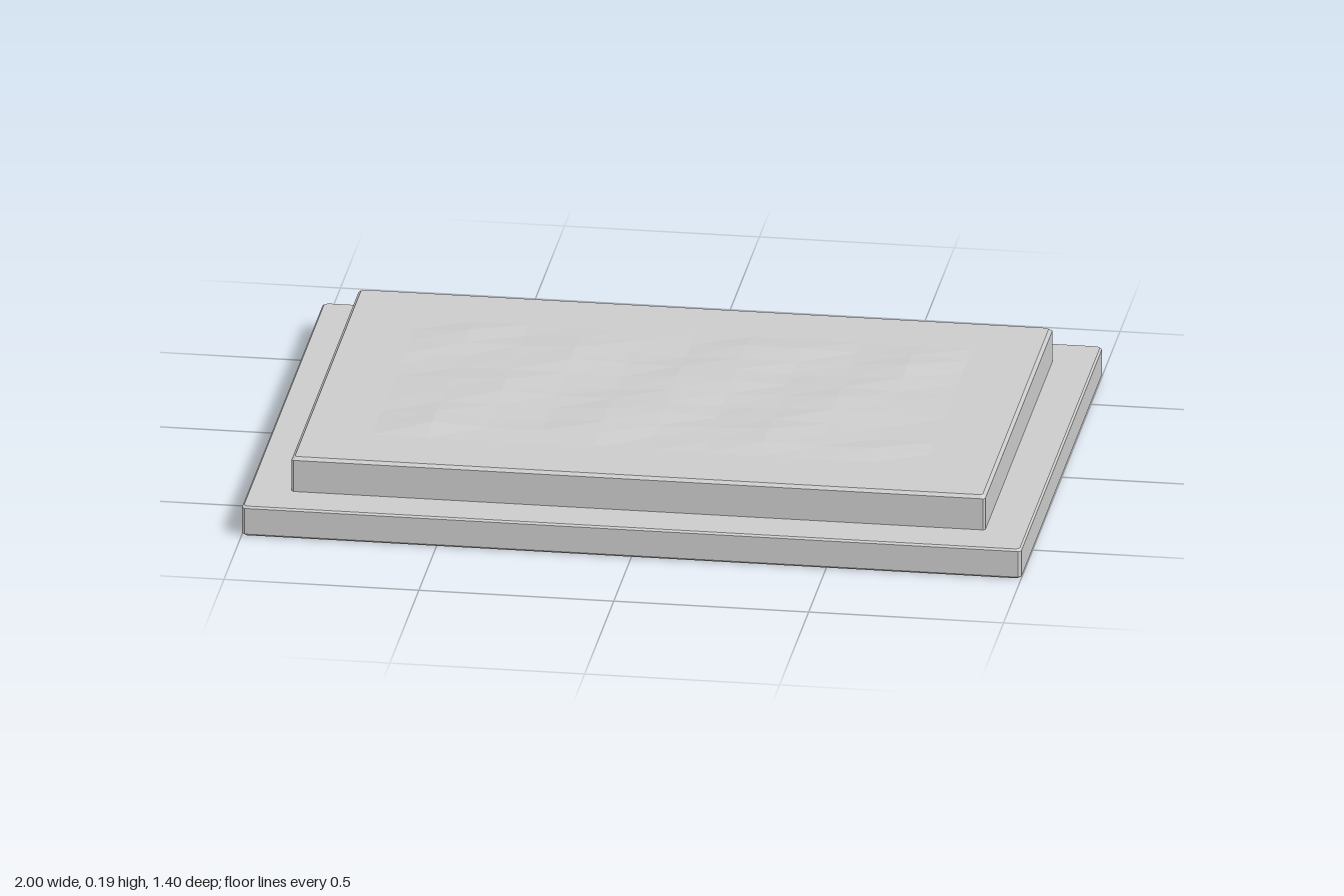
import * as THREE from 'three';

const material = new THREE.MeshStandardMaterial({ color: 0xcccccc, flatShading: true, side: THREE.DoubleSide });

// Rectangle outline with small cut corners, counter-clockwise seen from above.
function outline(hx, hz, y, cut) {
  const pts = [];
  for (const [sx, sz, swap] of [[1, 1, 0], [1, -1, 1], [-1, -1, 0], [-1, 1, 1]]) {
    const a = [sx * (hx - cut), y, sz * hz];
    const b = [sx * hx, y, sz * (hz - cut)];
    pts.push(...(swap ? [b, a] : [a, b]));
  }
  return pts;
}

// Skin through a stack of [halfX, halfZ, y] outlines, optionally closed on top.
function shell(name, levels, cut, capped) {
  const pos = [];
  const rings = levels.map(([hx, hz, y]) => outline(hx, hz, y, cut));
  for (let r = 0; r + 1 < rings.length; r++) {
    for (let i = 0; i < 8; i++) {
      const j = (i + 1) % 8;
      const a = rings[r][i], b = rings[r][j], c = rings[r + 1][j], d = rings[r + 1][i];
      pos.push(...a, ...b, ...c, ...a, ...c, ...d);
    }
  }
  if (capped) {
    const top = rings[rings.length - 1];
    for (let i = 1; i < 7; i++) pos.push(...top[0], ...top[i], ...top[i + 1]);
  }
  const geo = new THREE.BufferGeometry();
  geo.setAttribute('position', new THREE.Float32BufferAttribute(pos, 3));
  geo.computeVertexNormals();
  const mesh = new THREE.Mesh(geo, material);
  mesh.name = name;
  return mesh;
}

// Gently uneven sheet lying on the raised block, flat along its border.
function unevenSurface() {
  const n = 10;
  const geo = new THREE.PlaneGeometry(1.42, 0.8, n, n).rotateX(-Math.PI / 2);
  const p = geo.attributes.position;
  for (let i = 0; i < p.count; i++) {
    const col = i % (n + 1), row = Math.floor(i / (n + 1));
    const border = col === 0 || row === 0 || col === n || row === n;
    const wave = Math.sin(col * 2.1 + row * 0.7) + Math.sin(row * 1.7 - col * 0.9);
    p.setY(i, border ? 0.174 : 0.179 + 0.004 * wave);
  }
  geo.computeVertexNormals();
  const mesh = new THREE.Mesh(geo, material);
  mesh.name = 'unevenSurface';
  return mesh;
}

export function createModel() {
  const group = new THREE.Group();
  group.name = 'steppedPlinth';

  // Wide base frame, open underneath, with an inner wall below the block
  group.add(shell('baseFrame', [
    [0.995, 0.695, 0], [1, 0.7, 0.005], [1, 0.7, 0.075], [0.995, 0.695, 0.08],
    [0.89, 0.58, 0.08], [0.89, 0.58, 0],
  ], 0.008, false));

  // Raised hollow block with a chamfered top edge
  group.add(shell('raisedBlock', [
    [0.89, 0.58, 0.08], [0.89, 0.58, 0.165], [0.882, 0.572, 0.173],
  ], 0.005, true));

  group.add(unevenSurface());
  return group;
}
